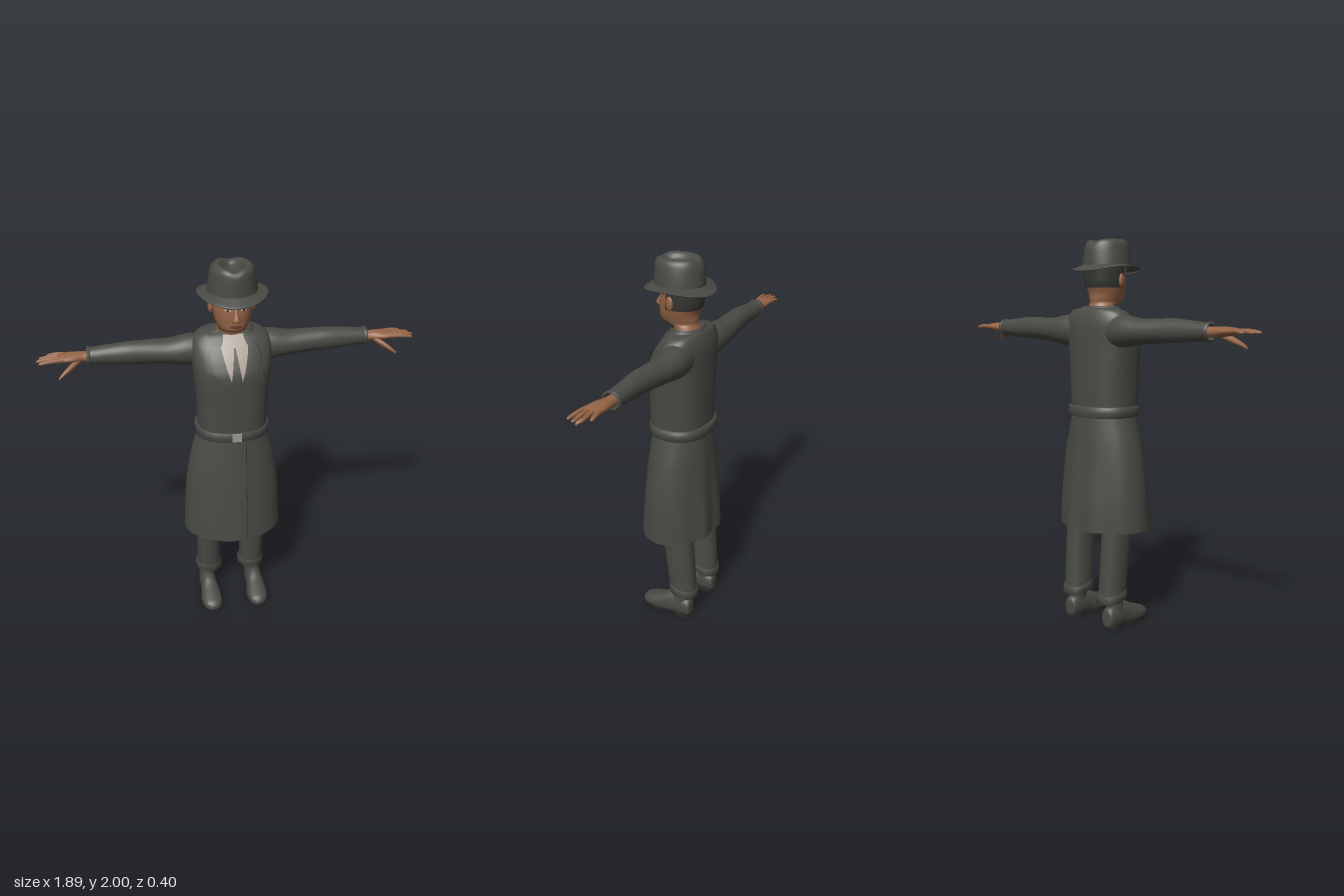
import * as THREE from 'three';

const mat = (name, color, side = THREE.FrontSide) => {
  const m = new THREE.MeshStandardMaterial({ color, side });
  m.name = name;
  return m;
};

// Surface through rows of points; closed rows wrap around, caps fill the ends
function grid(rows, closed, caps) {
  const n = rows[0].length, pos = [], idx = [];
  rows.forEach(r => r.forEach(p => pos.push(p.x, p.y, p.z)));
  for (let i = 0; i < rows.length - 1; i++) {
    for (let j = 0; j < (closed ? n : n - 1); j++) {
      const k = (j + 1) % n, a = i * n + j, b = i * n + k;
      idx.push(a, b, b + n, a, b + n, a + n);
    }
  }
  if (caps) [0, rows.length - 1].forEach((r, end) => {
    const c = pos.length / 3, mid = new THREE.Vector3();
    rows[r].forEach(p => mid.addScaledVector(p, 1 / n));
    [mid, ...rows[r]].forEach(p => pos.push(p.x, p.y, p.z));
    for (let j = 0; j < n; j++) {
      const a = c + 1 + j, b = c + 1 + (j + 1) % n;
      end ? idx.push(c, a, b) : idx.push(c, b, a);
    }
  });
  const g = new THREE.BufferGeometry();
  g.setAttribute('position', new THREE.Float32BufferAttribute(pos, 3));
  g.setIndex(idx);
  g.computeVertexNormals();
  return g;
}

// Catmull-Rom refinement of a list of sections
function smooth(secs, steps = 5) {
  const at = i => secs[Math.min(Math.max(i, 0), secs.length - 1)], out = [];
  for (let i = 0; i < secs.length - 1; i++) for (let s = 0; s < steps; s++) {
    const t = s / steps;
    out.push(at(i).map((b, k) => {
      const a = at(i - 1)[k], c = at(i + 1)[k], d = at(i + 2)[k];
      return b + 0.5 * t * (c - a + t * (2 * a - 5 * b + 4 * c - d + t * (3 * (b - c) + d - a)));
    }));
  }
  out.push(secs.at(-1));
  return out;
}

// Sections are [position along axis, centre a, centre b, radius a, radius b]
const axes = {
  y: (t, a, b) => new THREE.Vector3(a, t, b),
  x: (t, a, b) => new THREE.Vector3(t, b, a),
  z: (t, a, b) => new THREE.Vector3(b, a, t),
};
function loft(secs, { axis = 'y', n = 32, p = 2, arc, caps = true, warp } = {}) {
  const count = arc ? n + 1 : n;
  const pw = v => Math.sign(v) * Math.abs(v) ** (2 / p);
  const rows = secs.map(([t, ca, cb, ra, rb]) => Array.from({ length: count }, (_, j) => {
    const ang = arc ? arc[0] + (arc[1] - arc[0]) * j / n : j / n * Math.PI * 2;
    const v = axes[axis](t, ca + ra * pw(Math.sin(ang)), cb + rb * pw(Math.cos(ang)));
    if (warp) warp(v, ang);
    return v;
  }));
  return grid(rows, !arc, caps && !arc);
}

// Front depth of an upright loft at (x, y)
function frontZ(secs, p, x, y) {
  let i = 0;
  while (i < secs.length - 2 && secs[i + 1][0] < y) i++;
  const t = THREE.MathUtils.clamp((y - secs[i][0]) / (secs[i + 1][0] - secs[i][0]), 0, 1);
  const [, , cz, rx, rz] = secs[i].map((v, k) => v + (secs[i + 1][k] - v) * t);
  return cz + rz * Math.max(0, 1 - Math.abs(x / rx) ** p) ** (1 / p);
}

// Thin cloth or paint following a loft; rows are [y, x from, x to], upwards
const patch = (secs, p, rows, off) => grid(smooth(rows, 6).map(([y, l, r]) =>
  Array.from({ length: 9 }, (_, j) => {
    const x = l + (r - l) * j / 8;
    return new THREE.Vector3(x, y, frontZ(secs, p, x, y) + off);
  })), false);

function mirrored(geo) {
  const g = geo.clone().scale(-1, 1, 1), ix = g.index.array;
  for (let i = 0; i < ix.length; i += 3) [ix[i], ix[i + 1]] = [ix[i + 1], ix[i]];
  g.computeVertexNormals();
  return g;
}

export function createModel() {
  const coat = mat('coat cloth', 0x494a44, THREE.DoubleSide);
  const dark = mat('dark seam', 0x2b2b28), skin = mat('skin', 0x946446);
  const shirtM = mat('shirt', 0xaaa096, THREE.DoubleSide), hairM = mat('hair', 0x373733, THREE.DoubleSide);
  const metal = mat('buckle metal', 0x9a9a96), lipM = mat('lips', 0x6b4032), eyeM = mat('eye white', 0xb5aaa0);
  const model = new THREE.Group();
  const add = (name, geo, m) => {
    const mesh = new THREE.Mesh(geo, m);
    mesh.name = name;
    model.add(mesh);
  };
  const pair = (name, geo, m) => {
    add(name + 'Left', geo, m);
    add(name + 'Right', mirrored(geo), m);
  };

  // Coat body, sleeves and collar
  const TP = 2.4;
  const torso = smooth([
    [1.1, 0, 0, 0.175, 0.147], [1.18, 0, 0, 0.178, 0.148], [1.3, 0, 0, 0.182, 0.15],
    [1.45, 0, 0, 0.194, 0.15], [1.52, 0, -0.012, 0.2, 0.138], [1.58, 0, -0.028, 0.198, 0.118],
    [1.62, 0, -0.04, 0.182, 0.096], [1.645, 0, -0.047, 0.148, 0.078], [1.655, 0, -0.05, 0.095, 0.06]]);
  add('coatBody', loft(torso, { n: 64, p: TP }), coat);
  pair('sleeve', loft(smooth([
    [0.1, -0.06, 1.535, 0.07, 0.08], [0.2, -0.063, 1.54, 0.076, 0.08], [0.3, -0.062, 1.54, 0.07, 0.064],
    [0.4, -0.058, 1.545, 0.06, 0.06], [0.5, -0.054, 1.548, 0.053, 0.058],
    [0.6, -0.056, 1.547, 0.047, 0.05], [0.7, -0.058, 1.546, 0.043, 0.041]]), { axis: 'x', caps: false }), coat);
  pair('sleeveCuff', loft([[0.688, -0.058, 1.546, 0.043, 0.041], [0.69, -0.058, 1.546, 0.049, 0.047],
    [0.704, -0.058, 1.546, 0.049, 0.047], [0.706, -0.058, 1.546, 0.04, 0.038]], { axis: 'x', caps: false }), coat);
  add('collar', loft([[1.625, 0, -0.04, 0.135, 0.09], [1.65, 0, -0.035, 0.12, 0.085], [1.665, 0, -0.03, 0.098, 0.075]],
    { arc: [0.75, Math.PI * 2 - 0.75] }), coat);

  // Shirt, tie and lapels
  add('shirt', patch(torso, TP, [[1.4, -0.012, 0.012], [1.45, -0.036, 0.036], [1.52, -0.055, 0.055],
    [1.59, -0.068, 0.068], [1.645, -0.055, 0.055]], 0.003), shirtM);
  add('tie', patch(torso, TP, [[1.39, -0.02, 0.02], [1.44, -0.026, 0.026], [1.53, -0.013, 0.013], [1.595, -0.004, 0.004]], 0.006), coat);
  const lapel = [[1.39, 0, 0.028], [1.42, 0.017, 0.07], [1.48, 0.038, 0.11], [1.55, 0.057, 0.126], [1.61, 0.068, 0.105]];
  pair('lapelEdge', patch(torso, TP, lapel.map(([y, l, r]) => [y, r - 0.01, r + 0.003]), 0.005), dark);
  pair('lapel', patch(torso, TP, lapel, 0.008), coat);
  pair('collarTip', patch(torso, TP, [[1.605, 0.062, 0.075], [1.63, 0.052, 0.115], [1.648, 0.05, 0.12]], 0.012), coat);

  // Belt and buckle
  add('belt', loft([[1.1, 0, -0.006, 0.176, 0.148], [1.103, 0, -0.006, 0.19, 0.157], [1.13, 0, -0.006, 0.192, 0.159],
    [1.153, 0, -0.006, 0.19, 0.157], [1.158, 0, -0.006, 0.176, 0.147]], { n: 64, p: 2.3 }), coat);
  add('buckle', new THREE.BoxGeometry(0.048, 0.044, 0.012).translate(0, 1.13, 0.152), metal);

  // Flared skirt with soft folds behind and an overlapping front flap
  const skirt = smooth([[0.515, 0, 0.002, 0.262, 0.196], [0.65, 0, 0, 0.256, 0.188], [0.8, 0, 0, 0.245, 0.175],
    [0.95, 0, -0.002, 0.222, 0.162], [1.06, 0, -0.004, 0.194, 0.152], [1.12, 0, -0.005, 0.178, 0.146]]);
  const folds = v => {
    if (v.z > 0) return;
    const a = Math.atan2(v.x, v.z), k = (1.12 - v.y) / 0.6;
    const f = 1 - 0.045 * k * Math.cos(a) ** 2 * Math.cos(8 * a);
    v.x *= f;
    v.z *= f;
  };
  add('coatSkirt', loft(skirt, { n: 72, caps: false, warp: folds }), coat);
  add('frontFlapEdge', patch(skirt, 2, [[0.516, 0.046, 0.052], [0.8, 0.046, 0.052], [1.1, 0.046, 0.052]], 0.002), dark);
  add('frontFlap', patch(skirt, 2, [[0.516, -0.085, 0.048], [0.8, -0.085, 0.048], [1.1, -0.085, 0.048]], 0.006), coat);

  // Trousers with turn-ups
  pair('trouserLeg', loft(smooth([[0.15, 0.121, -0.08, 0.064, 0.073], [0.52, 0.125, -0.045, 0.066, 0.086],
    [0.8, 0.112, -0.02, 0.085, 0.1], [1.05, 0.09, 0, 0.085, 0.11]]), { p: 2.3 }), coat);
  pair('trouserCuff', loft([[0.15, 0.122, -0.08, 0.058, 0.066], [0.148, 0.122, -0.08, 0.073, 0.08],
    [0.186, 0.122, -0.08, 0.073, 0.08], [0.19, 0.122, -0.08, 0.06, 0.07]],
  { p: 2.3, caps: false, warp: v => { v.y += 0.2 * (v.z + 0.08); } }), coat);

  // Shoes
  pair('ankle', loft([[0.08, 0.135, -0.066, 0.042, 0.052], [0.2, 0.126, -0.07, 0.038, 0.046]]), coat);
  pair('shoe', loft(smooth([[-0.136, 0.05, 0.134, 0.03, 0.02], [-0.125, 0.052, 0.134, 0.053, 0.038],
    [-0.06, 0.06, 0.134, 0.068, 0.045], [0, 0.052, 0.134, 0.068, 0.047], [0.05, 0.04, 0.133, 0.054, 0.054],
    [0.11, 0.03, 0.132, 0.04, 0.056], [0.15, 0.025, 0.131, 0.028, 0.042], [0.168, 0.02, 0.13, 0.012, 0.016]]),
  { axis: 'z', p: 2.2, warp: v => { v.y = Math.max(v.y, 0.008); } }), coat);
  pair('heel', loft([[0, 0.134, -0.08, 0.046, 0.054], [0.025, 0.134, -0.08, 0.046, 0.055]], { p: 2.5 }), dark);
  pair('sole', loft([[0, 0.132, 0.07, 0.057, 0.096], [0.016, 0.132, 0.07, 0.06, 0.1]]), dark);

  // Hands: palm, four spread fingers and a dropped thumb
  pair('palm', loft(smooth([[0.66, -0.057, 1.545, 0.03, 0.025], [0.72, -0.056, 1.545, 0.031, 0.025],
    [0.77, -0.05, 1.548, 0.042, 0.024], [0.82, -0.048, 1.55, 0.046, 0.018], [0.845, -0.048, 1.55, 0.042, 0.012]]),
  { axis: 'x', n: 20 }), skin);
  [[-0.083, -0.093, 0.9], [-0.06, -0.064, 0.935], [-0.036, -0.034, 0.947], [-0.014, -0.002, 0.935]].forEach(([z0, z1, x1], i) => {
    pair('finger' + (i + 1), loft(smooth([[0.81, z0, 1.551, 0.011, 0.012], [(0.81 + x1) / 2, (z0 + z1) / 2, 1.552, 0.011, 0.011],
      [x1 - 0.012, z1, 1.547, 0.009, 0.008], [x1, z1, 1.546, 0.003, 0.003]], 3), { axis: 'x', n: 10 }), skin);
  });
  pair('thumb', loft(smooth([[0.735, -0.04, 1.54, 0.016, 0.016], [0.78, -0.012, 1.515, 0.019, 0.017],
    [0.82, 0.014, 1.492, 0.014, 0.012], [0.845, 0.028, 1.474, 0.006, 0.006]], 4), { axis: 'x', n: 12 }), skin);

  // Head and neck
  const head = smooth([[1.6, 0, -0.035, 0.085, 0.07], [1.64, 0, -0.03, 0.076, 0.066], [1.668, 0, -0.018, 0.07, 0.067],
    [1.682, 0, 0.008, 0.07, 0.09], [1.7, 0, 0.016, 0.077, 0.1], [1.73, 0, 0.016, 0.087, 0.102],
    [1.775, 0, 0.009, 0.097, 0.11], [1.82, 0, 0.004, 0.1, 0.111], [1.87, 0, 0.007, 0.101, 0.117], [1.91, 0, 0.01, 0.09, 0.1]]);
  add('head', loft(head, { n: 48 }), skin);
  add('hair', loft(head.filter(s => s[0] > 1.755 && s[0] < 1.9).map(([y, a, b, c, d]) => [y, a, b, c + 0.005, d + 0.004]),
    { arc: [1.3, Math.PI * 2 - 1.3] }), hairM);
  add('nose', loft(smooth([[1.737, 0, 0.113, 0.012, 0.01], [1.748, 0, 0.121, 0.021, 0.025], [1.76, 0, 0.121, 0.018, 0.027],
    [1.785, 0, 0.115, 0.011, 0.018], [1.815, 0, 0.108, 0.009, 0.009]], 3), { n: 16 }), skin);
  pair('ear', new THREE.SphereGeometry(1, 16, 12).scale(0.012, 0.036, 0.022).rotateY(-0.3).translate(0.105, 1.792, 0.012), skin);
  pair('eye', patch(head, 2, [[1.793, 0.032, 0.042], [1.799, 0.022, 0.054], [1.804, 0.03, 0.046]], 0.002), eyeM);
  pair('pupil', patch(head, 2, [[1.793, 0.035, 0.041], [1.799, 0.032, 0.044], [1.805, 0.035, 0.041]], 0.004), dark);
  pair('eyebrow', patch(head, 2, [[1.814, 0.02, 0.056], [1.819, 0.018, 0.066], [1.824, 0.03, 0.062]], 0.004), hairM);
  add('lips', patch(head, 2, [[1.708, -0.014, 0.014], [1.717, -0.032, 0.032], [1.726, -0.012, 0.012]], 0.004), lipM);

  // Hat: pinched crown with a dented top, and a brim raised at the sides
  add('hatCrown', loft(smooth([[1.862, 0, 0.015, 0.122, 0.128], [1.9, 0, 0.016, 0.118, 0.126], [1.95, 0, 0.018, 0.11, 0.122],
    [1.982, 0, 0.02, 0.1, 0.115], [1.998, 0, 0.02, 0.08, 0.098], [1.994, 0, 0.02, 0.058, 0.078],
    [1.976, 0, 0.02, 0.038, 0.055], [1.968, 0, 0.02, 0.008, 0.012]]), {
    n: 48, warp: v => {
      if (v.y > 1.94) v.y -= 0.014 * Math.exp(-((v.x / 0.035) ** 2)) * Math.min(1, (v.y - 1.94) / 0.04);
    },
  }), coat);
  const turnUp = (v, a) => { v.y += 0.026 * Math.sin(a) ** 2 * THREE.MathUtils.clamp((1.872 - v.y) / 0.035, 0, 1); };
  add('hatBrim', loft(smooth([[1.834, 0, 0.014, 0.168, 0.175], [1.84, 0, 0.014, 0.17, 0.177], [1.852, 0, 0.015, 0.152, 0.158],
    [1.872, 0, 0.015, 0.118, 0.124]], 4), { n: 48, caps: false, warp: turnUp }), coat);
  return model;
}
